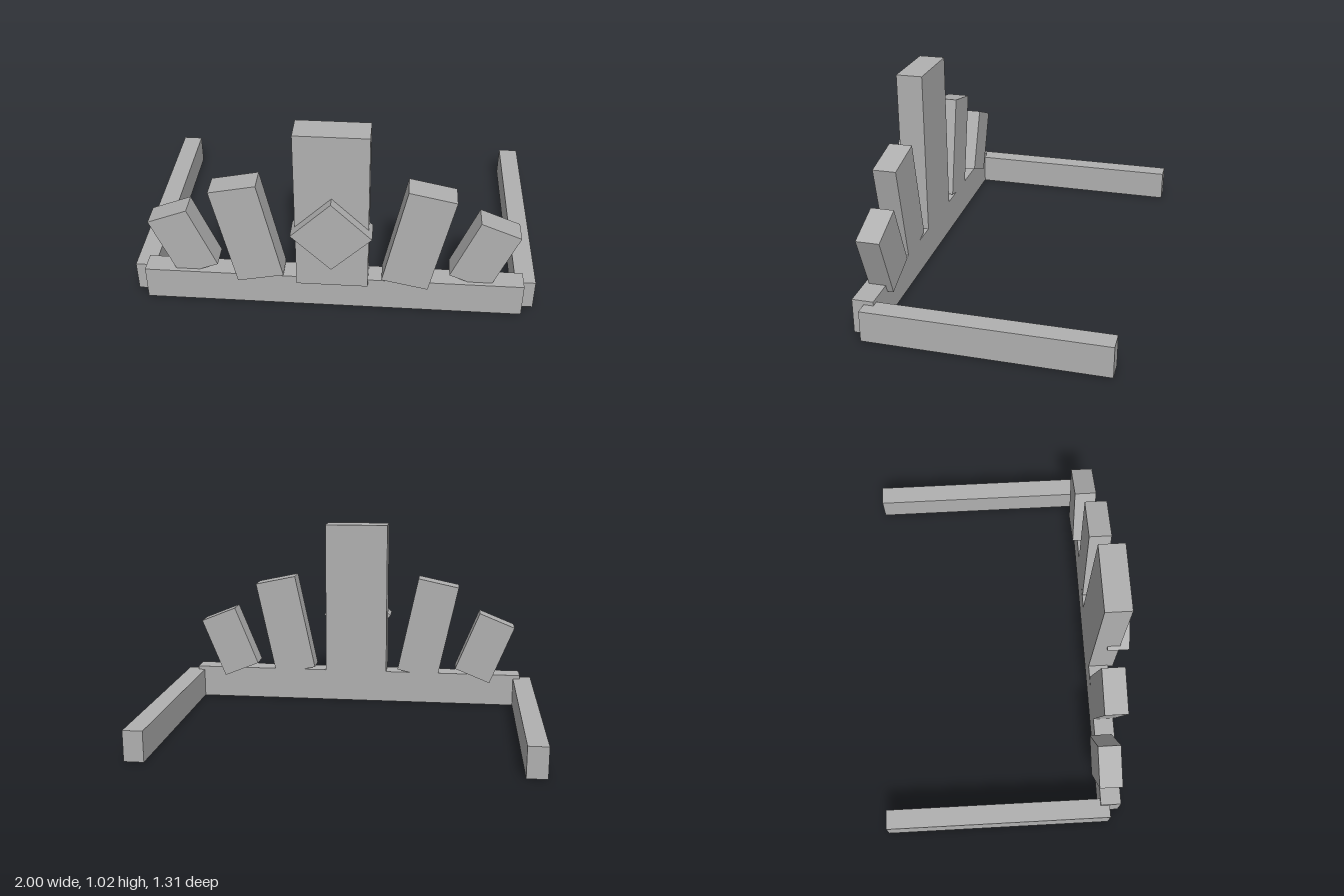
import * as THREE from 'three';

export function createModel() {
  const group = new THREE.Group();
  const gray = new THREE.MeshStandardMaterial({ color: 0xb0b0b0 });
  gray.name = 'plain gray';

  // Box of width w and height h centred at (x, y), spanning z0..z1, turned about z by degrees
  function block(name, w, h, x, y, z0, z1, degrees = 0) {
    const mesh = new THREE.Mesh(new THREE.BoxGeometry(w, h, z1 - z0), gray);
    mesh.name = name;
    mesh.position.set(x, y, (z0 + z1) / 2);
    mesh.rotation.z = THREE.MathUtils.degToRad(degrees);
    group.add(mesh);
  }

  // Front band and central crest
  block('frontBand', 1.874, 0.177, 0, 0.0885, 0.472, 0.578);
  block('centerCrest', 0.35, 0.862, 0, 0.591, 0.472, 0.607);
  block('diamondGem', 0.273, 0.273, 0, 0.493, 0.541, 0.656, 45);

  // Mirrored side rails and fanned crest panels
  for (const [side, s] of [['left', 1], ['right', -1]]) {
    block(side + 'Rail', 0.1, 0.157, s * 0.95, 0.0785, -0.656, 0.52);
    block(side + 'InnerPanel', 0.232, 0.544, s * 0.411, 0.434, 0.472, 0.59, -s * 12);
    block(side + 'OuterPanel', 0.21, 0.349, s * 0.734, 0.337, 0.441, 0.557, -s * 22);
  }

  return group;
}
